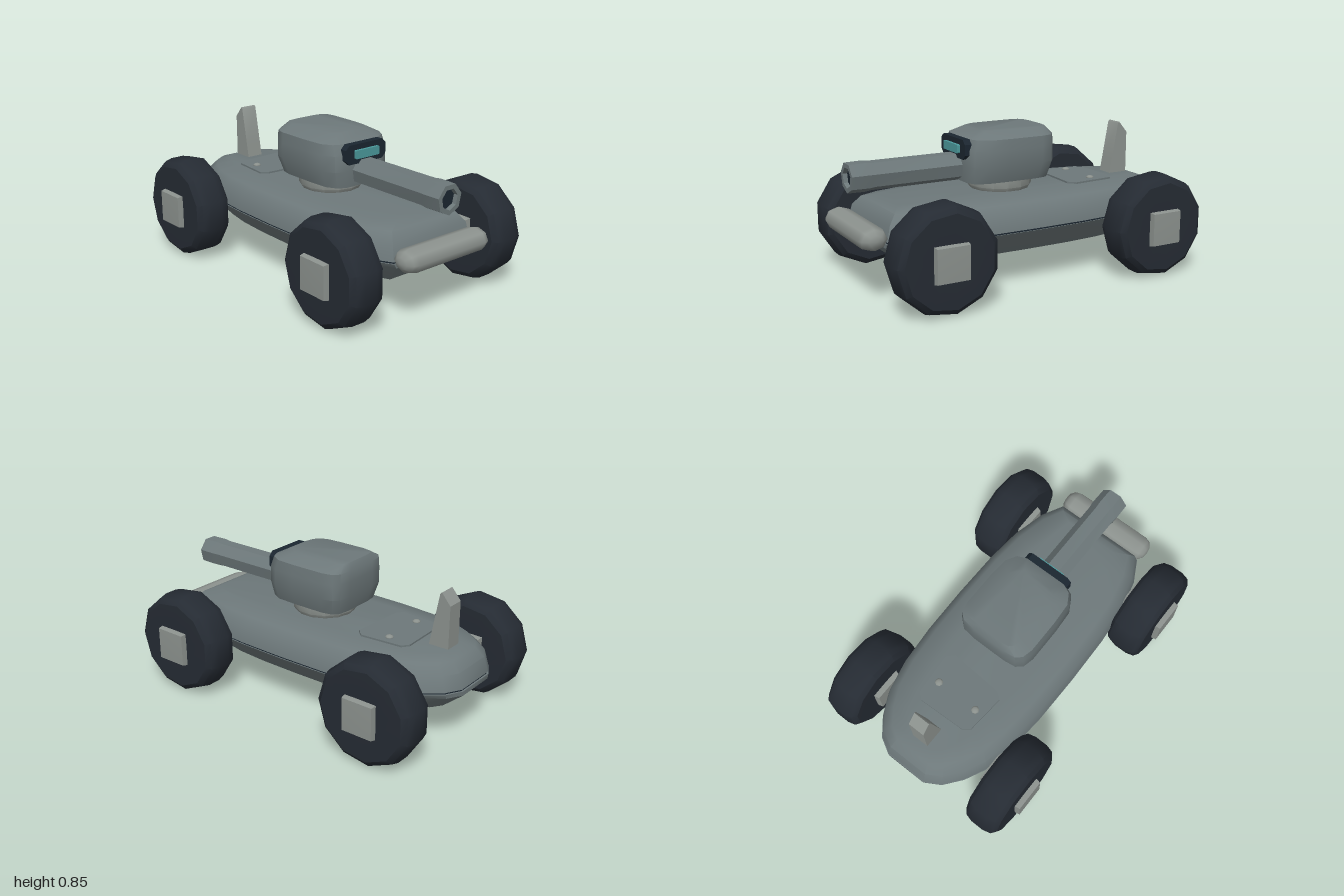
import * as THREE from 'three';
import { toCreasedNormals } from 'three/addons/utils/BufferGeometryUtils.js';

const mat = (color) => new THREE.MeshStandardMaterial({ color, roughness: 0.8 });
const armour = mat(0x6d787a), tyreMat = mat(0x252b33), metal = mat(0x8c928e);
const dark = mat(0x1b2630), teal = mat(0x4b9a9c);

const crease = (g, angle = 0.65) => toCreasedNormals(g, angle);

// Mirror a half outline (x, z), given from front to rear, into a closed ring
const mirror = (half) => [...half, ...half.slice().reverse().map(([x, z]) => [-x, z])];

// Stack scaled copies of an outline; level = [y, x scale, z scale, z shift]
function loft(outline, levels, angle) {
  const n = outline.length, pos = [], index = [];
  levels.forEach(([y, sx, sz, dz = 0]) => outline.forEach(([x, z]) => pos.push(x * sx, y, z * sz + dz)));
  for (let i = 0; i < levels.length - 1; i++) {
    for (let j = 0; j < n; j++) {
      const k = (j + 1) % n, a = i * n + j, b = i * n + k;
      index.push(a, b, b + n, a, b + n, a + n);
    }
  }
  const last = (levels.length - 1) * n;
  for (let j = 1; j < n - 1; j++) {
    index.push(0, j + 1, j, last, last + j, last + j + 1);
  }
  const g = new THREE.BufferGeometry();
  g.setAttribute('position', new THREE.Float32BufferAttribute(pos, 3));
  g.setIndex(index);
  return crease(g, angle);
}

const lathe = (points, sides) =>
  crease(new THREE.LatheGeometry(points.map(([r, y]) => new THREE.Vector2(r, y)), sides));

const shape = (points) => new THREE.Shape(points.map(([x, y]) => new THREE.Vector2(x, y)));

export function createModel() {
  const model = new THREE.Group();
  model.name = 'armouredRover';
  const add = (name, geometry, material, x = 0, y = 0, z = 0, parent = model) => {
    const mesh = new THREE.Mesh(geometry, material);
    mesh.name = name;
    mesh.position.set(x, y, z);
    parent.add(mesh);
    return mesh;
  };

  // Boat-shaped hull in two halves with a dark seam between
  const plan = mirror([
    [0.28, 0.85], [0.35, 0.72], [0.4, 0.52], [0.42, 0.3], [0.425, 0], [0.42, -0.3],
    [0.4, -0.54], [0.36, -0.72], [0.3, -0.84], [0.22, -0.94], [0.13, -0.99],
  ]);
  add('lowerHull', loft(plan, [[0.19, 0.69, 0.86], [0.31, 0.95, 1], [0.335, 1, 1]]), armour);
  add('hullSeam', loft(plan, [[0.33, 0.985, 0.99], [0.35, 0.985, 0.99]]), dark);
  add('upperHull', loft(plan, [
    [0.345, 1, 0.995], [0.43, 0.96, 0.97], [0.48, 0.84, 0.92], [0.5, 0.56, 0.86],
  ]), armour);

  // Front bumper
  const bumper = new THREE.CapsuleGeometry(0.065, 0.48, 3, 8);
  bumper.rotateZ(Math.PI / 2).scale(1, 1, 1.27);
  add('bumper', bumper, metal, 0, 0.365, 0.912);

  // Four wheels, each a chunky tyre on a square hub
  const tyre = lathe([
    [0, -0.105], [0.14, -0.11], [0.255, -0.108], [0.285, -0.085], [0.297, -0.04],
    [0.297, 0.04], [0.285, 0.085], [0.255, 0.108], [0.14, 0.11], [0, 0.105],
  ], 11).rotateZ(-Math.PI / 2);
  const hub = lathe([
    [0, -0.14], [0.125, -0.14], [0.14, -0.1], [0.14, 0.1], [0.13, 0.14], [0, 0.145],
  ], 4).rotateY(Math.PI / 4).rotateZ(-Math.PI / 2);
  for (const [end, z] of [['front', 0.645], ['rear', -0.692]]) {
    for (const [side, s] of [['Left', 1], ['Right', -1]]) {
      const wheel = new THREE.Group();
      wheel.name = `${end}${side}Wheel`;
      wheel.position.set(s * 0.51, 0.297, z);
      if (s < 0) wheel.rotation.y = Math.PI;
      add('tyre', tyre, tyreMat, 0, 0, 0, wheel);
      add('hub', hub, metal, 0, 0, 0, wheel);
      model.add(wheel);
    }
  }

  // Turret ring and turret
  add('turretRing', lathe([
    [0, 0], [0.17, 0], [0.185, 0.025], [0.185, 0.075], [0, 0.075],
  ], 14), metal, 0, 0.495, 0.025);
  const turretPlan = mirror([
    [0.13, 0.27], [0.185, 0.245], [0.222, 0.18], [0.23, 0.05],
    [0.23, -0.16], [0.215, -0.225], [0.18, -0.255], [0.1, -0.265],
  ]);
  add('turret', loft(turretPlan, [
    [0.565, 0.87, 0.94, 0.04], [0.66, 1, 1, 0.032], [0.75, 0.995, 0.995, 0.03],
    [0.81, 0.97, 0.95, 0.02], [0.85, 0.66, 0.76, -0.01],
  ]), armour);

  // Sensor visor
  const slab = (w, h, c, d) => crease(new THREE.ExtrudeGeometry(shape([
    [-w, -h + c], [-w + c, -h], [w - c, -h], [w, -h + c],
    [w, h - c], [w - c, h], [-w + c, h], [-w, h - c],
  ]), { depth: d, bevelEnabled: false }));
  add('visorFrame', slab(0.145, 0.055, 0.025, 0.07), dark, 0, 0.755, 0.25);
  add('visorLens', slab(0.085, 0.024, 0.004, 0.03), teal, 0, 0.755, 0.307);

  // Hollow gun barrel with a dark bore
  const barrel = lathe([
    [0.082, 0], [0.082, 0.56], [0.087, 0.6], [0.085, 0.7], [0.058, 0.7], [0.054, 0.6],
  ], 7).rotateX(Math.PI / 2);
  add('barrel', barrel, armour, 0, 0.645, 0.25);
  add('bore', new THREE.CylinderGeometry(0.056, 0.056, 0.05, 7).rotateX(Math.PI / 2), dark, 0, 0.645, 0.9);

  // Rear deck hatch with two bolts
  const hatch = new THREE.ExtrudeGeometry(shape([
    [-0.2, -0.39], [-0.18, -0.62], [-0.14, -0.65], [0.14, -0.66],
    [0.18, -0.63], [0.2, -0.38], [0.16, -0.34], [-0.16, -0.36],
  ]), { depth: 0.02, bevelEnabled: false }).rotateX(Math.PI / 2);
  add('hatch', hatch, armour, 0, 0.51, 0);
  for (const s of [-1, 1]) {
    add('hatchBolt', new THREE.SphereGeometry(0.024, 8, 5).scale(1, 0.5, 1), metal, s * 0.13, 0.511, -0.52);
  }

  // Upright tail fin
  const fin = new THREE.ExtrudeGeometry(shape([
    [-0.84, 0.47], [-0.715, 0.47], [-0.735, 0.58], [-0.775, 0.8], [-0.785, 0.81], [-0.84, 0.745],
  ]), { depth: 0.1, bevelEnabled: false }).translate(0, 0, -0.05).rotateY(-Math.PI / 2);
  add('tailFin', crease(fin), metal);

  return model;
}
